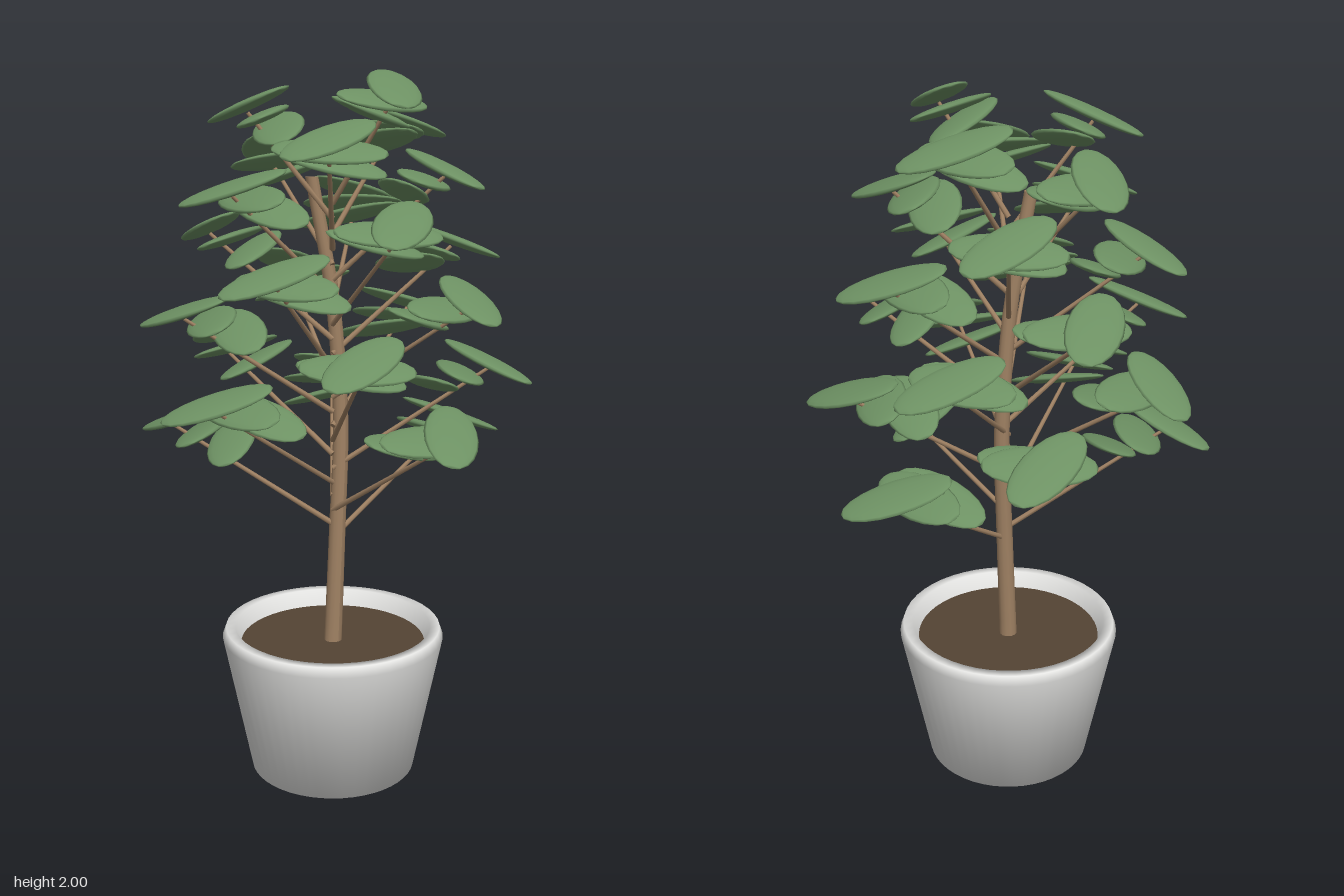
import * as THREE from 'three';

const mat = (name, color) => {
  const m = new THREE.MeshStandardMaterial({ color });
  m.name = name;
  return m;
};
const v = (x, y, z) => new THREE.Vector3(x, y, z);
const rad = THREE.MathUtils.degToRad;

export function createModel() {
  const plant = new THREE.Group();
  plant.name = 'pottedPlant';
  const ceramic = mat('white ceramic', 0xe4e4e2);
  const earth = mat('dark soil', 0x544434);
  const bark = mat('brown bark', 0x9f8163);
  const foliage = mat('leaf green', 0x6d9163);

  const add = (parent, name, geometry, material) => {
    const mesh = new THREE.Mesh(geometry, material);
    mesh.name = name;
    parent.add(mesh);
    return mesh;
  };

  // Pot: closed base, tapered wall, rounded rim and inner lip, softly shaded throughout
  const wall = [[0, 0], [0.24, 0], [0.322, 0.405], [0.312, 0.433], [0.284, 0.433], [0.262, 0.36]];
  add(plant, 'pot', new THREE.LatheGeometry(wall.map(p => new THREE.Vector2(...p)), 48), ceramic);
  const soil = add(plant, 'soil', new THREE.CircleGeometry(0.268, 48), earth);
  soil.rotation.x = -Math.PI / 2;
  soil.position.y = 0.385;

  // Trunk: gently bent, narrowing upwards
  const path = new THREE.CatmullRomCurve3([v(0, 0.37, 0), v(0.014, 0.7, 0.002), v(0.028, 1, 0),
    v(0.01, 1.32, -0.012), v(-0.037, 1.72, -0.045)]);
  const trunkGeo = new THREE.CylinderGeometry(0.018, 0.026, 1.35, 12, 20);
  const pos = trunkGeo.attributes.position;
  for (let i = 0; i < pos.count; i++) {
    const up = pos.getY(i) / 1.35 + 0.5;
    const c = path.getPoint(THREE.MathUtils.clamp(up, 0, 1));
    pos.setXYZ(i, pos.getX(i) + c.x, 0.37 + 1.35 * up, pos.getZ(i) + c.z);
  }
  trunkGeo.computeVertexNormals();
  add(plant, 'trunk', trunkGeo, bark);

  // Leaf: flat ellipsoid centred on its branch, turned by dir and sloping down towards fall
  const leafGeo = new THREE.SphereGeometry(1, 16, 10);
  leafGeo.rotateZ(Math.PI / 2);
  leafGeo.scale(0.152, 0.014, 0.073);
  const addLeaf = (parent, at, dir, fall) => {
    const slope = 0.39;
    const normal = v(slope * Math.cos(fall), 1, slope * Math.sin(fall)).normalize();
    const along = v(Math.cos(dir), -slope * Math.cos(dir - fall), Math.sin(dir)).normalize();
    const across = along.clone().cross(normal);
    const leaf = add(parent, 'leaf', leafGeo, foliage);
    leaf.quaternion.setFromRotationMatrix(new THREE.Matrix4().makeBasis(along, normal, across));
    leaf.position.copy(at);
  };

  // Three leaves per branch: share of the reach, drop below the top leaf, turn and fall in degrees
  const leaves = [[1, 0, 47, 10], [0.82, 0.03, 98, 0], [0.64, 0.06, 88, -38]];

  // Branches: spiral up the centre line, shorter towards the top
  const count = 24;
  for (let i = 0; i < count; i++) {
    const t = i / (count - 1);
    const angle = rad(-1 - i * 137.5);
    const reach = 0.45 - 0.245 * t * t;
    const startY = 0.7 + 0.95 * t;
    const out = (share, rise) =>
      v(share * reach * Math.cos(angle), startY + rise, share * reach * Math.sin(angle));
    const start = out(0, 0);
    const tip = out(1, 0.28);

    const branch = new THREE.Group();
    branch.name = 'branch';
    plant.add(branch);
    const stem = add(branch, 'stem',
      new THREE.CylinderGeometry(0.005, 0.008, start.distanceTo(tip), 6), bark);
    stem.position.lerpVectors(start, tip, 0.5);
    stem.quaternion.setFromUnitVectors(v(0, 1, 0), tip.clone().sub(start).normalize());

    for (const [share, drop, turn, fall] of leaves) {
      addLeaf(branch, out(share, 0.3 - drop), angle + rad(turn), angle + rad(fall));
    }
  }
  return plant;
}
